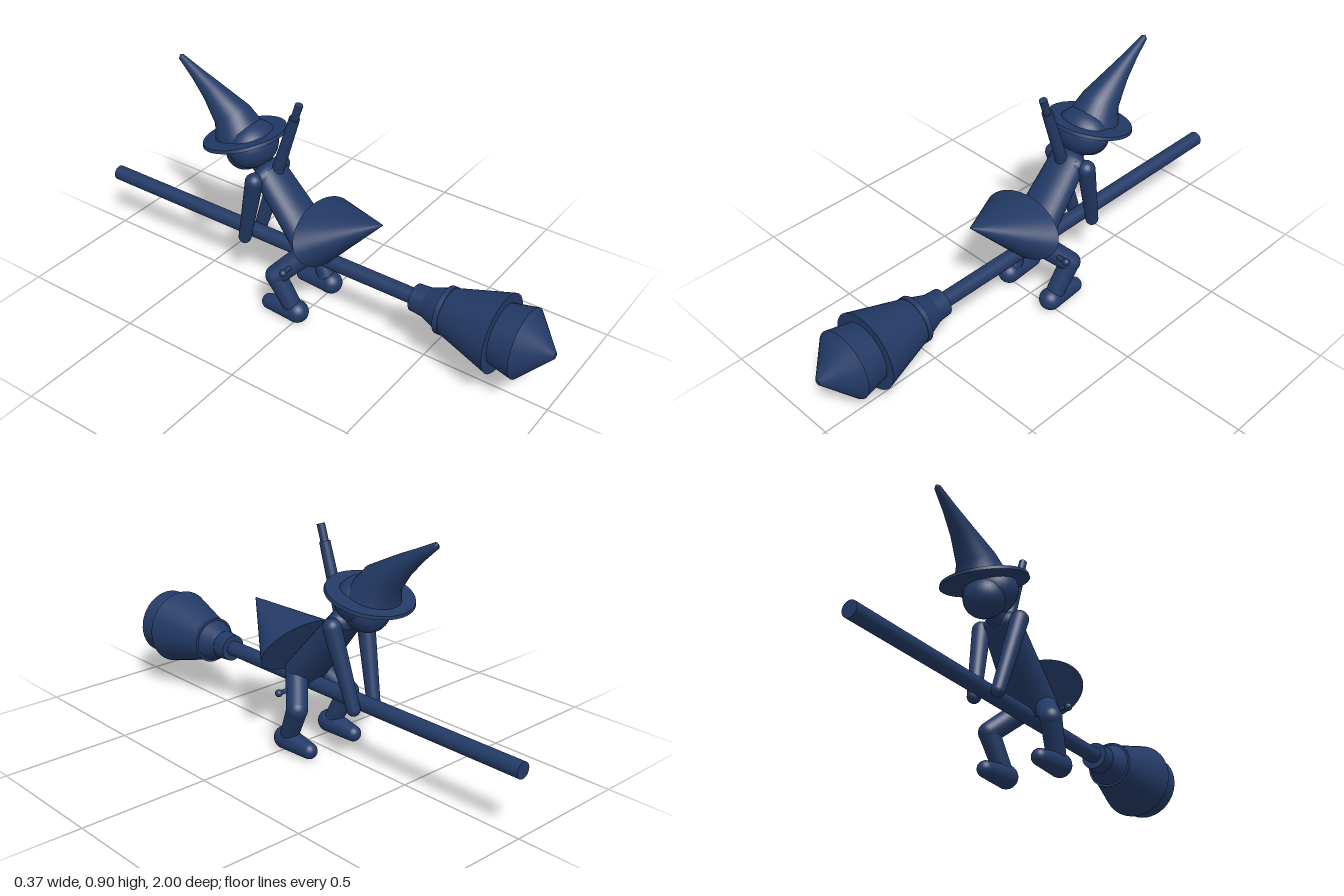
import * as THREE from 'three';

const UP = new THREE.Vector3(0, 1, 0);

export function createModel() {
  const model = new THREE.Group();
  model.name = 'broomRider';
  const navy = new THREE.MeshStandardMaterial({ color: 0x233a66 });
  navy.name = 'navy';

  const add = (name, geometry, parent = model) => {
    const mesh = new THREE.Mesh(geometry, navy);
    mesh.name = name;
    parent.add(mesh);
    return mesh;
  };

  // Tapered rod from a to b; sx widens it sideways
  const rod = (name, a, b, ra, rb, parent = model, sx = 1, sides = 32) => {
    const p = new THREE.Vector3(...a), q = new THREE.Vector3(...b);
    const dir = q.clone().sub(p);
    const mesh = add(name, new THREE.CylinderGeometry(rb, ra, dir.length(), sides), parent);
    mesh.position.copy(p).add(q).multiplyScalar(0.5);
    mesh.quaternion.setFromUnitVectors(UP, dir.normalize());
    mesh.scale.x = sx;
    return mesh;
  };

  const ball = (name, c, r, parent = model, sx = 1) => {
    const mesh = add(name, new THREE.SphereGeometry(r, 32, 20), parent);
    mesh.position.set(...c);
    mesh.scale.x = sx;
    return mesh;
  };

  // Rounded limb: rod with a ball at each end
  const limb = (name, a, b, ra, rb, parent) => {
    const g = new THREE.Group();
    g.name = name;
    parent.add(g);
    rod(name + 'Shaft', a, b, ra, rb, g);
    ball(name + 'Start', a, ra, g);
    ball(name + 'End', b, rb, g);
  };

  // Broom: pairs of [z, radius] along its axis
  const broom = new THREE.Group();
  broom.name = 'broom';
  model.add(broom);
  const by = 0.245;
  const section = (name, z0, r0, z1, r1) => rod(name, [0, by, z0], [0, by, z1], r0, r1, broom, 1, 40);
  section('handle', -1, 0.03, 0.47, 0.03);
  section('collar', 0.45, 0.052, 0.51, 0.056);
  section('bristleNeck', 0.505, 0.057, 0.58, 0.085);
  section('binding', 0.572, 0.091, 0.592, 0.091);
  section('outerBristles', 0.585, 0.086, 0.8, 0.15);
  section('innerBristles', 0.79, 0.112, 0.89, 0.132);
  section('bristleTip', 0.89, 0.132, 1, 0.012);

  // Foot rest with round ends
  rod('footRest', [-0.165, by, -0.02], [0.165, by, -0.02], 0.009, 0.009, broom);

  // Torso, neck and flared skirt tail
  rod('torso', [0, 0.285, 0.015], [0, 0.545, -0.205], 0.064, 0.05, model, 1.5);
  ball('shoulders', [0, 0.535, -0.197], 0.048, model, 1.7);
  rod('neck', [0, 0.53, -0.2], [0, 0.6, -0.28], 0.04, 0.04);
  rod('skirtTail', [0, 0.37, 0.05], [0, 0.495, 0.3], 0.112, 0.002, model, 1.65, 48);

  // Arms, legs and feet on both sides
  for (const s of [1, -1]) {
    const side = new THREE.Group();
    side.name = s > 0 ? 'leftLimbs' : 'rightLimbs';
    model.add(side);
    limb('arm', [s * 0.082, 0.53, -0.21], [s * 0.05, 0.235, -0.29], 0.034, 0.025, side);
    limb('thigh', [s * 0.06, 0.275, 0], [s * 0.13, 0.19, -0.08], 0.042, 0.04, side);
    limb('shin', [s * 0.13, 0.19, -0.08], [s * 0.112, 0.06, -0.015], 0.039, 0.035, side);
    limb('foot', [s * 0.112, 0.045, 0.005], [s * 0.112, 0.035, -0.125], 0.044, 0.031, side);
    ball('footRestKnob', [s * 0.165, by, -0.02], 0.014, side);
  }

  // Staff strapped to the back
  rod('staffLower', [0, 0.52, -0.175], [0, 0.8, -0.083], 0.024, 0.02);
  rod('staffTip', [0, 0.79, -0.086], [0, 0.86, -0.062], 0.015, 0.015);

  // Head
  ball('hair', [0, 0.633, -0.275], 0.088, model, 1.22);
  ball('face', [0, 0.595, -0.308], 0.074, model, 1.1);

  // Hat: tilted brim and a crown leaning back to a point
  const brim = rod('hatBrim', [0, 0.653, -0.314], [0, 0.665, -0.311], 0.16, 0.157, model, 1.02, 48);
  brim.rotation.set(-0.25, 0, 0);

  const rings = [[0.66, -0.33, 0.098, -0.25], [0.725, -0.37, 0.072, -0.6],
    [0.795, -0.462, 0.042, -0.95], [0.845, -0.533, 0.025, -1], [0.893, -0.605, 0.012, -1], [0.9, -0.611, 0.001, -1]];
  const n = 32, pos = [], idx = [];
  rings.forEach(([y, z, r, tilt], i) => {
    for (let j = 0; j < n; j++) {
      const t = j / n * Math.PI * 2, u = r * Math.sin(t);
      pos.push(r * Math.cos(t), y - u * Math.sin(tilt) * -1 * -1, z + u * Math.cos(tilt));
      if (i === 0) continue;
      const a = (i - 1) * n + j, b = (i - 1) * n + (j + 1) % n;
      idx.push(a, a + n, b, b, a + n, b + n);
    }
  });
  const crown = new THREE.BufferGeometry();
  crown.setAttribute('position', new THREE.Float32BufferAttribute(pos, 3));
  crown.setIndex(idx);
  crown.computeVertexNormals();
  add('hatCrown', crown);

  return model;
}
